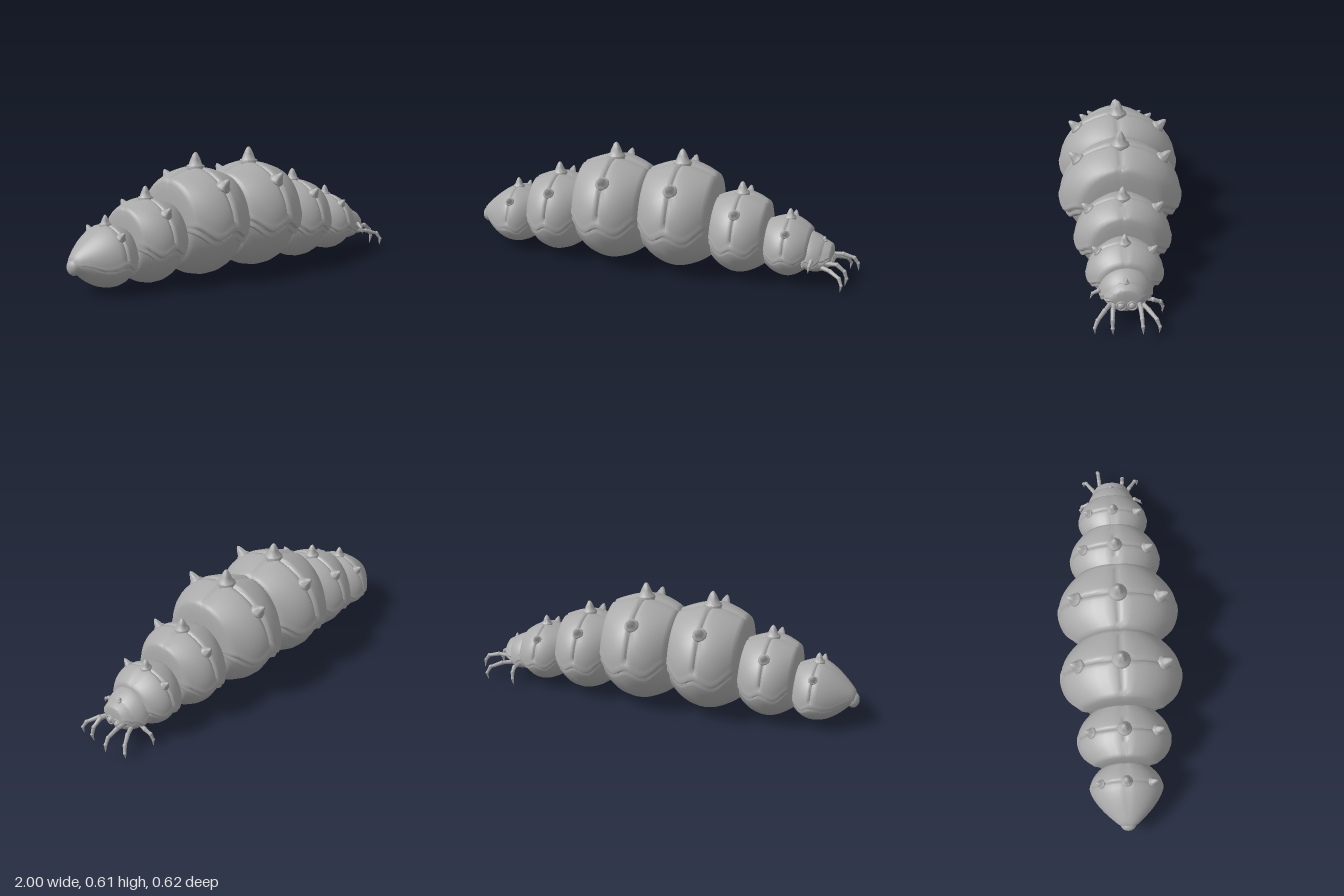
import * as THREE from 'three';
import { toCreasedNormals } from 'three/addons/utils/BufferGeometryUtils.js';

const grey = new THREE.MeshStandardMaterial({ color: 0xaaaaaa });
grey.name = 'chitinGrey';

function add(parent, geometry, name, x = 0, y = 0, z = 0) {
  const mesh = new THREE.Mesh(geometry, grey);
  mesh.name = name;
  mesh.position.set(x, y, z);
  parent.add(mesh);
  return mesh;
}

// Closed rings of [x, y, z] strung along x, with a fan over each end
function loft(rings, hubs) {
  const n = rings[0].length, last = (rings.length - 1) * n, index = [];
  const points = rings.flat().concat(hubs);
  const first = rings.length * n;
  for (let i = 0; i < rings.length - 1; i++) {
    for (let j = 0; j < n; j++) {
      const k = (j + 1) % n, a = i * n + j, d = i * n + k;
      index.push(a, d, d + n, a, d + n, a + n);
    }
  }
  for (let j = 0; j < n; j++) {
    const k = (j + 1) % n;
    index.push(first, k, j, first + 1, last + j, last + k);
  }
  const g = new THREE.BufferGeometry();
  g.setAttribute('position', new THREE.Float32BufferAttribute(points.flat(), 3));
  g.setIndex(index);
  return toCreasedNormals(g, 0.95);
}

const half = [0.03, 0.07, 0.16, 0.28, 0.4, 0.52, 0.64, 0.76, 0.88, 0.96, 1, 1.03, 1.05];
const steps = [...half.map((t) => -t).reverse(), 0, ...half];
const arcSteps = steps.filter((v) => Math.abs(v) <= 1);
const groove = (d, width) => Math.exp(-((d / width) ** 2));

// Taper towards the ends, which round over past t = 0.96
function narrow(t, k, p) {
  const over = Math.max(0, Math.abs(t) - 0.96) / 0.11;
  return Math.max(0.05, 1 - k * Math.abs(t) ** p) * Math.sqrt(1 - over * over);
}

// Each s: centre x, half lengths l and r, centre height, radii, and for each end
// the taper [in height, in width]
const along = (s, t) => s.x + t * (t < 0 ? s.l : s.r);
const taper = (s, t) => (t < 0 ? s.kl : s.kr);
const hubs = (s, y) => [-1.06, 1.06].map((t) => [along(s, t), y, 0]);

// Armour arch with crossed grooves, a wavy rim and a second lip under it
function shell(s) {
  const cut = s.groove ?? 0.045;
  const rings = steps.map((t) => {
    const [ky, kz] = taper(s, t);
    const fy = s.ry * narrow(t, ky, 1.5), fz = s.rz * narrow(t, kz, ky > 0.5 ? 1.5 : 2.2);
    const edge = (s.edge ?? 1.59) + 0.18 * Math.sin(Math.PI * t) ** 2 - 0.1 * t * t;
    const at = (a, r) => [along(s, t), s.y + Math.cos(a) * fy * r, Math.sin(a) * fz * r];
    const lip = [[edge - 0.1, 1.005], [edge - 0.04, 1.02], [edge, 1.015], [edge + 0.02, 0.965],
      [edge + 0.05, 0.955], [edge + 0.09, 0.975], [edge + 0.15, 0.97], [edge + 0.18, 0.8]];
    const arch = arcSteps.map((v) => {
      const a = v * (edge - 0.17);
      return at(a, 1 - cut * Math.max(groove(t, 0.04), groove(a, 0.05)));
    });
    return [...lip.map(([a, r]) => at(-a, r)).reverse(), ...arch, ...lip.map(([a, r]) => at(a, r))];
  });
  return loft(rings, hubs(s, s.y + s.ry * 0.2));
}

// Soft round body under the armour
function belly(s) {
  const ry = s.y - s.bottom;
  const rings = steps.map((t) => {
    const [ky, kz] = taper(s, t);
    const fy = ry * narrow(t, ky + 0.1, 2), fz = s.rz * 0.89 * narrow(t, kz + 0.04, 2);
    return Array.from({ length: 28 }, (_, j) => {
      const a = (j / 28) * Math.PI * 2;
      return [along(s, t), s.y + Math.cos(a) * fy, Math.sin(a) * fz];
    });
  });
  return loft(rings, hubs(s, s.y));
}

const spikeProfile = [[0, -0.02], [0.046, -0.02], [0.052, 0], [0.049, 0.01], [0.037, 0.017],
  [0.027, 0.045], [0.014, 0.073], [0.005, 0.083], [0, 0.085]];
function spike(size) {
  const points = spikeProfile.map(([r, y]) => new THREE.Vector2(r * size, y * size));
  return toCreasedNormals(new THREE.LatheGeometry(points, 16), 0.8);
}

// Leg: tapering jointed links ending in a claw
function leg(parent, joints, radii) {
  const limb = new THREE.Group();
  limb.name = 'leg';
  parent.add(limb);
  const pts = joints.map((p) => new THREE.Vector3(...p));
  for (let i = 0; i < pts.length - 1; i++) {
    const dir = pts[i + 1].clone().sub(pts[i]);
    const mid = pts[i].clone().add(pts[i + 1]).multiplyScalar(0.5);
    const end = i === pts.length - 2 ? 0.001 : radii[i + 1] * 0.85;
    const link = add(limb, new THREE.CylinderGeometry(end, radii[i], dir.length(), 10),
      i === pts.length - 2 ? 'claw' : 'legLink', ...mid);
    link.quaternion.setFromUnitVectors(new THREE.Vector3(0, 1, 0), dir.normalize());
    add(limb, new THREE.SphereGeometry(radii[i] * 1.08, 10, 8), 'joint', ...pts[i]);
  }
}

const k = [0.19, 0.33];
const segments = [
  { name: 'tailSegment', x: -0.79, l: 0.185, r: 0.1, y: 0.145, ry: 0.17, rz: 0.18, bottom: 0.015, kl: [0.76, 0.76], kr: k, spike: 0.57 },
  { name: 'rearSegment', x: -0.555, l: 0.132, r: 0.135, y: 0.2, ry: 0.215, rz: 0.232, bottom: 0.004, kl: k, kr: k, spike: 0.72 },
  { name: 'rearMiddleSegment', x: -0.245, l: 0.175, r: 0.175, y: 0.262, ry: 0.275, rz: 0.302, bottom: 0.002, kl: k, kr: k, spike: 0.9 },
  { name: 'frontMiddleSegment', x: 0.105, l: 0.175, r: 0.178, y: 0.262, ry: 0.275, rz: 0.302, bottom: 0.002, kl: k, kr: k, spike: 0.9 },
  { name: 'frontSegment', x: 0.415, l: 0.132, r: 0.135, y: 0.2, ry: 0.215, rz: 0.232, bottom: 0.004, kl: k, kr: k, spike: 0.72 },
  { name: 'neckSegment', x: 0.66, l: 0.108, r: 0.108, y: 0.155, ry: 0.16, rz: 0.18, bottom: 0.014, kl: k, kr: [0.33, 0.33], spike: 0.57 },
];

export function createModel() {
  const model = new THREE.Group();
  model.name = 'armouredGrub';

  // Body segments with a top spike and a pair of side spikes
  for (const s of segments) {
    const part = new THREE.Group();
    part.name = s.name;
    model.add(part);
    add(part, shell(s), 'shell');
    add(part, belly(s), 'belly');
    add(part, spike(s.spike), 'topSpike', s.x, s.y + s.ry - 0.006, 0);
    for (const side of [-1, 1]) {
      const a = side * 0.78;
      const thorn = add(part, spike(s.spike * 0.78), 'sideSpike',
        s.x, s.y + Math.cos(a) * s.ry * 0.98, Math.sin(a) * s.rz * 0.98);
      thorn.rotation.x = a;
    }
  }
  const tip = add(model, new THREE.SphereGeometry(0.034, 16, 12), 'tailTip', -0.969, 0.133, 0);
  tip.scale.set(0.9, 1.15, 1.15);

  // Head: hood, visor over the eyes, throat, nose horn
  const head = new THREE.Group();
  head.name = 'head';
  model.add(head);
  add(head, shell({ x: 0.765, l: 0.03, r: 0.075, y: 0.115, ry: 0.128, rz: 0.125, kl: [0.1, 0.1], kr: [0.25, 0.25], edge: 1.4, groove: 0 }), 'hood');
  add(head, shell({ x: 0.8, l: 0.04, r: 0.077, y: 0.1, ry: 0.118, rz: 0.11, kl: [0.1, 0.1], kr: [0.22, 0.25], edge: 1.1, groove: 0 }), 'visor');
  add(head, new THREE.SphereGeometry(1, 24, 16), 'throat', 0.79, 0.105, 0).scale.set(0.09, 0.053, 0.1);
  add(head, spike(0.28), 'noseHorn', 0.835, 0.209, 0);

  for (const side of [-1, 1]) {
    // Eyes in their sockets
    add(head, new THREE.SphereGeometry(0.019, 16, 12), 'eye', 0.874, 0.113, side * 0.025);
    const socket = add(head, new THREE.TorusGeometry(0.021, 0.005, 8, 20), 'eyeSocket', 0.88, 0.113, side * 0.025);
    socket.rotation.y = Math.PI / 2;

    // Middle leg
    leg(head, [[0.83, 0.095, side * 0.07], [0.885, 0.092, side * 0.1], [0.935, 0.075, side * 0.133],
      [0.95, 0.045, side * 0.147], [0.945, 0.01, side * 0.145]], [0.012, 0.011, 0.01, 0.008]);
  }

  // Front and back legs, posed differently left and right
  leg(head, [[0.85, 0.11, 0.055], [0.91, 0.115, 0.063], [0.95, 0.085, 0.066],
    [0.962, 0.05, 0.066], [0.955, 0.01, 0.064]], [0.012, 0.011, 0.01, 0.009]);
  leg(head, [[0.85, 0.12, -0.055], [0.92, 0.123, -0.062], [0.975, 0.108, -0.065],
    [0.995, 0.08, -0.068], [1, 0.04, -0.07]], [0.012, 0.011, 0.01, 0.009]);
  leg(head, [[0.79, 0.12, 0.09], [0.795, 0.143, 0.125], [0.79, 0.125, 0.152],
    [0.788, 0.095, 0.165]], [0.011, 0.01, 0.008]);
  leg(head, [[0.79, 0.095, -0.08], [0.8, 0.09, -0.125], [0.795, 0.075, -0.158],
    [0.79, 0.045, -0.17], [0.788, 0.01, -0.168]], [0.012, 0.011, 0.01, 0.008]);
  return model;
}
